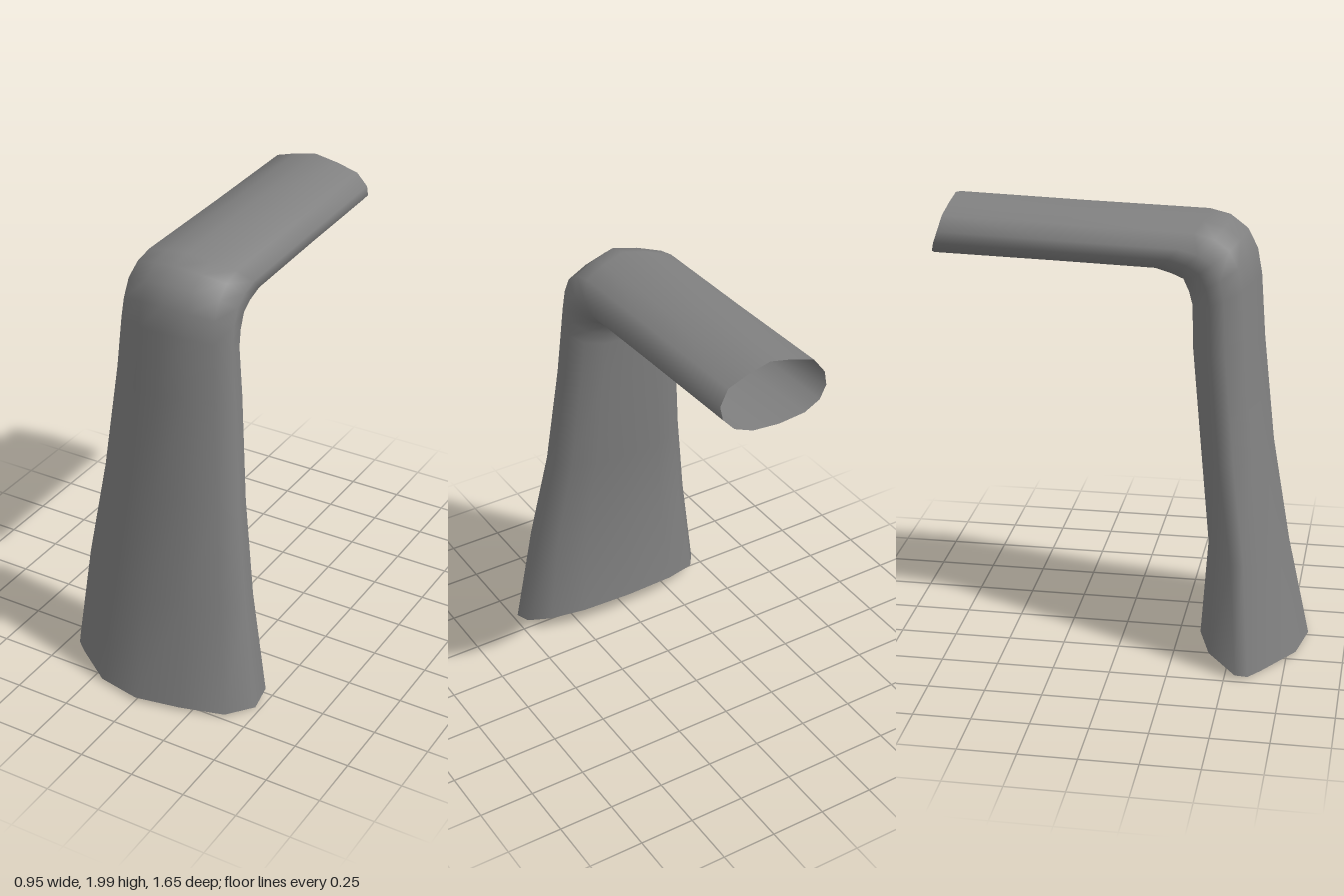
import * as THREE from 'three';

// Cross-section, once round: [fraction of half width, outer (1) to inner (-1)]
const LEFT = [[0.42, 0.83], [0.82, 0.58], [1, 0.08], [0.99, -0.33], [0.82, -0.7], [0.5, -0.93]];
const SECTION = [[0, 1], ...LEFT, [0, -1], ...LEFT.map(([u, v]) => [-u, v]).reverse()];
// Pinch of the front right edge at the foot, by section index
const PINCH = { 10: [-0.01, 0.15], 11: [0.06, -0.04], 12: [0, -0.33] };

// Stations: outer z, outer y, inner z, inner y, half width
const STATIONS = [
  [0.83, 0.02, 0.35, 0.11, 0.477],
  [0.73, 0.48, 0.38, 0.53, 0.402],
  [0.65, 0.95, 0.34, 0.93, 0.333],
  [0.60, 1.42, 0.295, 1.40, 0.287],
  [0.58, 1.70, 0.29, 1.58, 0.267],
  [0.56, 1.81, 0.275, 1.635, 0.263],
  [0.52, 1.89, 0.25, 1.69, 0.261],
  [0.45, 1.945, 0.20, 1.71, 0.258],
  [0.36, 1.967, 0.13, 1.73, 0.255],
  [-0.20, 1.982, -0.30, 1.742, 0.249],
  [-0.75, 2.00, -0.825, 1.755, 0.246],
];

// Lofts an open tube through the stations
function loft() {
  const pos = [], index = [], n = SECTION.length;
  STATIONS.forEach(([oz, oy, iz, iy, w], s) => {
    const pinch = Math.max(0, 1 - s * 0.5);
    // The foot rim dips at the sides, the far rim is slightly hollow
    const dipY = s === 0 ? -0.06 : 0;
    const dipZ = s === STATIONS.length - 1 ? 0.01 : 0;
    SECTION.forEach(([u0, v0], k) => {
      const [du, dv] = PINCH[k] || [0, 0];
      const u = u0 + du * pinch, v = v0 + dv * pinch;
      const t = (1 - v) / 2, dip = 1 - Math.abs(v);
      pos.push(u * w, oy + (iy - oy) * t + dipY * dip, oz + (iz - oz) * t + dipZ * dip);
      if (s === 0) return;
      const a = (s - 1) * n + k, b = (s - 1) * n + (k + 1) % n;
      index.push(a, b, b + n, a, b + n, a + n);
    });
  });
  const geometry = new THREE.BufferGeometry();
  geometry.setAttribute('position', new THREE.Float32BufferAttribute(pos, 3));
  geometry.setIndex(index);
  geometry.computeVertexNormals();
  return geometry;
}

export function createModel() {
  const group = new THREE.Group();
  group.name = 'bentTube';
  const tube = new THREE.Mesh(
    loft(),
    new THREE.MeshStandardMaterial({ color: 0x808080, side: THREE.DoubleSide })
  );
  tube.name = 'tubeShell';
  group.add(tube);
  return group;
}
